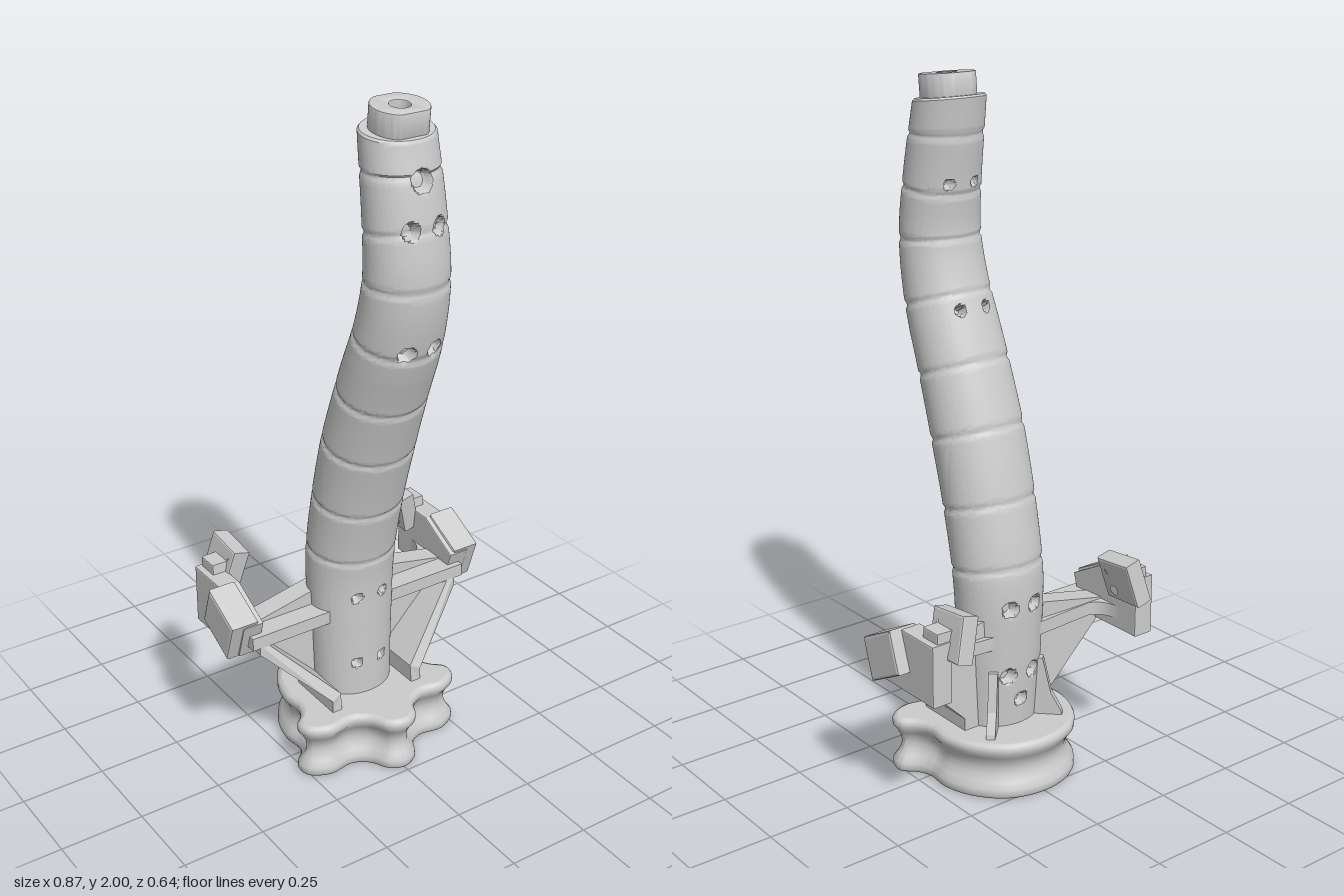
import * as THREE from 'three';
import { toCreasedNormals } from 'three/addons/utils/BufferGeometryUtils.js';

const grey = new THREE.MeshStandardMaterial({ color: 0xcccccc });
const greyDouble = new THREE.MeshStandardMaterial({ color: 0xcccccc, side: THREE.DoubleSide });
const { smoothstep, clamp } = THREE.MathUtils;

function add(parent, name, geo, mat = grey) {
  const mesh = new THREE.Mesh(geo, mat);
  mesh.name = name;
  parent.add(mesh);
  return mesh;
}

// Skin over closed rings of points (rings go counterclockwise seen from above, bottom to top)
function loft(rings, crease) {
  const n = rings[0].length, pos = [], idx = [];
  rings.forEach(r => r.forEach(p => pos.push(p.x, p.y, p.z)));
  for (let j = 0; j < rings.length - 1; j++)
    for (let i = 0; i < n; i++) {
      const k = (i + 1) % n, a = j * n + i, b = j * n + k, c = a + n, d = b + n;
      idx.push(a, b, d, a, d, c);
    }
  const g = new THREE.BufferGeometry();
  g.setAttribute('position', new THREE.Float32BufferAttribute(pos, 3));
  g.setIndex(idx);
  return toCreasedNormals(g, crease);
}

// Piecewise linear lookup in [key, value] pairs
function lookup(table, y) {
  for (let i = 1; i < table.length; i++) {
    const [a, u] = table[i - 1], [b, v] = table[i];
    if (y <= b) return u + (v - u) * clamp((y - a) / (b - a), 0, 1);
  }
  return table[table.length - 1][1];
}

function polygon(points, holes = []) {
  const s = new THREE.Shape(points.map(p => new THREE.Vector2(...p)));
  for (const [x, y, r] of holes) s.holes.push(new THREE.Path().absarc(x, y, r, 0, Math.PI * 2, true));
  return s;
}

function extrude(shape, depth, bevel = 0) {
  return new THREE.ExtrudeGeometry(shape, {
    depth: depth - 2 * bevel, bevelEnabled: bevel > 0, bevelSize: bevel, bevelOffset: -bevel,
    bevelThickness: bevel, bevelSegments: 2, curveSegments: 20,
  }).translate(0, 0, bevel);
}

// Profile in x,y pulled along z
const alongZ = (pts, z0, z1, bevel) => extrude(polygon(pts), z1 - z0, bevel).translate(0, 0, z0);

// Profile in z,y pulled along x
const alongX = (pts, x0, x1, bevel, holes = []) =>
  extrude(polygon(pts.map(([z, y]) => [-z, y]), holes.map(([z, y, r]) => [-z, y, r])), x1 - x0, bevel)
    .rotateY(Math.PI / 2).translate(x0, 0, 0);

// Reflected copy of an unindexed geometry
function mirrorX(geo) {
  const g = geo.clone().scale(-1, 1, 1);
  for (const name of ['position', 'normal']) {
    const a = g.attributes[name];
    for (let i = 0; i < a.count; i += 3) {
      const t = [a.getX(i), a.getY(i), a.getZ(i)];
      a.setXYZ(i, a.getX(i + 1), a.getY(i + 1), a.getZ(i + 1));
      a.setXYZ(i + 1, ...t);
    }
  }
  g.computeVertexNormals();
  return g;
}

// Curved, tapering column with seams and screw holes
function columnGeometry() {
  const path = new THREE.CatmullRomCurve3([
    [-0.05, 0.16], [-0.056, 0.4], [-0.053, 0.6], [-0.015, 0.8], [0.04, 1.0], [0.11, 1.2],
    [0.185, 1.4], [0.212, 1.55], [0.2, 1.7], [0.163, 1.93],
  ].map(([z, y]) => new THREE.Vector3(0, y, z)));
  const widths = [[0.16, 0.122], [0.6, 0.136], [1.0, 0.139], [1.3, 0.132], [1.55, 0.12], [1.93, 0.106]];
  const seams = [0.64, 0.815, 1.01, 1.185, 1.37, 1.54, 1.68, 1.83];
  const holes = [[0, 1.82, 1, 0.032], [0, 0.25, -1, 0.022]]; // x, y, front or back, radius
  for (const x of [-0.043, 0.043]) {
    for (const [y, r] of [[0.28, 0.016], [0.505, 0.016], [1.36, 0.024], [1.7, 0.024]]) holes.push([x, y, 1, r]);
    for (const [y, r] of [[0.33, 0.024], [0.54, 0.024], [1.36, 0.015], [1.7, 0.015]]) holes.push([x, y, -1, r]);
  }
  const rows = 300, cols = 144, rings = [];
  const ring = (t, shrink) => {
    const c = path.getPointAt(t), d = path.getTangentAt(t);
    const lean = THREE.MathUtils.lerp(Math.atan2(d.z, d.y), 0.12, smoothstep(t, 0.88, 1));
    let rx = lookup(widths, c.y);
    for (const s of seams) rx -= 0.005 * (1 - smoothstep(Math.abs(c.y - s), 0.003, 0.012));
    const rz = rx * 0.86, out = [];
    for (let i = 0; i < cols; i++) {
      const a = i / cols * Math.PI * 2, x = Math.sin(a) * rx * shrink;
      let w = Math.cos(a) * rz * shrink;
      const y = c.y - w * Math.sin(lean);
      for (const [hx, hy, side, r] of holes)
        if (w * side > 0) w -= side * 0.03 * (1 - smoothstep(Math.hypot(x - hx, y - hy), r * 0.65, r));
      out.push(new THREE.Vector3(x, c.y - w * Math.sin(lean), c.z + w * Math.cos(lean)));
    }
    return out;
  };
  for (let j = 0; j < rows; j++) rings.push(ring(j / rows, 1));
  rings.push(ring(1, 0.95), ring(1, 0.4));
  return loft(rings, 0.6);
}

// Lobed foot with a waisted rim and blind holes underneath
function buildFoot(parent) {
  const half = [[0.045, 0.222], [0.08, 0.165], [0.125, 0.14], [0.2, 0.148], [0.26, 0.115], [0.268, 0.07],
    [0.232, 0.03], [0.216, -0.01], [0.22, -0.08], [0.19, -0.17], [0.115, -0.25]];
  const pts = [[0, 0.24], ...half, [0, -0.28], ...half.map(([x, z]) => [-x, z]).reverse()];
  const curve = new THREE.CatmullRomCurve3(pts.map(([x, z]) => new THREE.Vector3(x, 0, z)), true);
  const n = 144;
  const ring = (y, inset) => Array.from({ length: n }, (_, i) => {
    const p = curve.getPoint(i / n), t = curve.getTangent(i / n);
    return new THREE.Vector3(p.x + t.z * inset, y, p.z - t.x * inset);
  });
  const profile = [[0, 0.012], [0.004, 0.004], [0.012, 0], [0.03, 0.001], [0.048, 0.014], [0.068, 0.024],
    [0.086, 0.027], [0.104, 0.024], [0.124, 0.014], [0.142, 0.001], [0.158, 0], [0.167, 0.005], [0.172, 0.015]];
  const foot = new THREE.Group();
  foot.name = 'foot';
  parent.add(foot);
  add(foot, 'footRim', loft(profile.map(p => ring(...p)), 0.7));
  const top = polygon(ring(0, 0.015).map(p => [p.x, -p.z]));
  add(foot, 'footTop', new THREE.ShapeGeometry(top).rotateX(-Math.PI / 2).translate(0, 0.172, 0));
  const holes = [[0, -0.045, 0.058]];
  for (let i = 0; i < 8; i++) {
    const a = i * Math.PI / 4;
    holes.push([Math.sin(a) * 0.15, -0.045 + Math.cos(a) * 0.15, 0.034]);
  }
  const bottom = polygon(ring(0, 0.012).map(p => [p.x, p.z]), holes);
  add(foot, 'footBottom', new THREE.ShapeGeometry(bottom, 24).rotateX(Math.PI / 2));
  for (const [x, z, r] of holes) {
    add(foot, 'footHoleWall', new THREE.CylinderGeometry(r, r, 0.1, 24, 1, true).translate(x, 0.05, z), greyDouble);
    add(foot, 'footHoleEnd', new THREE.CircleGeometry(r, 24).rotateX(Math.PI / 2).translate(x, 0.1, z));
  }
}

// Parts of the side arm on the +x side
function armParts() {
  const strut = alongZ([[0.125, 0.165], [0.157, 0.165], [0.157, 0.21], [0.345, 0.395], [0.345, 0.43],
    [0.325, 0.43], [0.125, 0.225]], -0.1, 0.09);
  const p = strut.attributes.position; // front edge narrows upward
  for (let i = 0; i < p.count; i++)
    if (p.getZ(i) > 0) p.setZ(i, 0.09 * (1 - smoothstepLinear(p.getY(i), 0.21, 0.4)));
  strut.computeVertexNormals();

  const deck = new THREE.Shape();
  deck.moveTo(0.08, -0.005);
  deck.lineTo(0.37, -0.005);
  deck.lineTo(0.37, 0.2);
  deck.lineTo(0.33, 0.2);
  deck.quadraticCurveTo(0.325, 0.14, 0.28, 0.127);
  deck.lineTo(0.08, 0.143);

  const pad = alongX([[-0.175, 0.632], [-0.305, 0.645], [-0.322, 0.512], [-0.192, 0.505]], 0.279, 0.333, 0.006,
    [[-0.217, 0.602, 0.021], [-0.227, 0.538, 0.021]]);
  pad.translate(-0.306, -0.575, 0).rotateZ(0.26).translate(0.306, 0.575, 0);

  return {
    armStrut: strut,
    armDeck: extrude(deck, 0.04).rotateX(-Math.PI / 2).translate(0, 0.42, 0),
    armRidge: alongZ([[0.08, 0.43], [0.34, 0.43], [0.34, 0.462], [0.08, 0.515]], -0.125, -0.06),
    armWeb: alongZ([[0.08, 0.165], [0.14, 0.165], [0.14, 0.21], [0.34, 0.4], [0.34, 0.44], [0.08, 0.44]], -0.1, -0.06),
    armPlate: alongX([[-0.035, 0.39], [-0.275, 0.39], [-0.275, 0.57], [-0.13, 0.57], [0, 0.5]], 0.33, 0.395, 0.004),
    armOuterBlock: alongX([[0, 0.51], [-0.13, 0.577], [-0.17, 0.458], [-0.04, 0.39]], 0.345, 0.433, 0.008,
      [[-0.036, 0.487, 0.024], [-0.102, 0.518, 0.024]]),
    armTab: alongX([[-0.2, 0.55], [-0.27, 0.55], [-0.27, 0.6], [-0.205, 0.6]], 0.31, 0.375, 0.004),
    armPad: pad,
    // Gusset behind the column
    backGusset: alongZ([[0, 0.165], [0.105, 0.165], [0.1, 0.185], [0.07, 0.24], [0.045, 0.35], [0, 0.35]],
      -0.013, 0.013).rotateY(Math.PI / 4).translate(0.06, 0, -0.115),
  };
}

const smoothstepLinear = (v, a, b) => clamp((v - a) / (b - a), 0, 1);

// Collar with two flats and a bore at the column's upper end
function collarGeometry() {
  const outline = [];
  for (let i = 0; i < 64; i++) {
    const a = i / 64 * Math.PI * 2;
    outline.push([Math.cos(a) * 0.078, clamp(Math.sin(a) * 0.078, -0.066, 0.072)]);
  }
  const g = extrude(polygon(outline, [[0, 0, 0.028]]), 0.08, 0.003).rotateX(-Math.PI / 2);
  return toCreasedNormals(g, 0.4).translate(0, -0.017, 0).rotateX(0.1).translate(0, 1.93, 0.168);
}

export function createModel() {
  const model = new THREE.Group();
  model.name = 'curvedColumnStand';
  buildFoot(model);
  add(model, 'column', columnGeometry());
  add(model, 'topCollar', collarGeometry());
  const left = new THREE.Group(), right = new THREE.Group();
  left.name = 'leftArm';
  right.name = 'rightArm';
  model.add(left, right);
  for (const [name, geo] of Object.entries(armParts())) {
    add(left, name, geo);
    add(right, name, mirrorX(geo));
  }
  return model;
}
